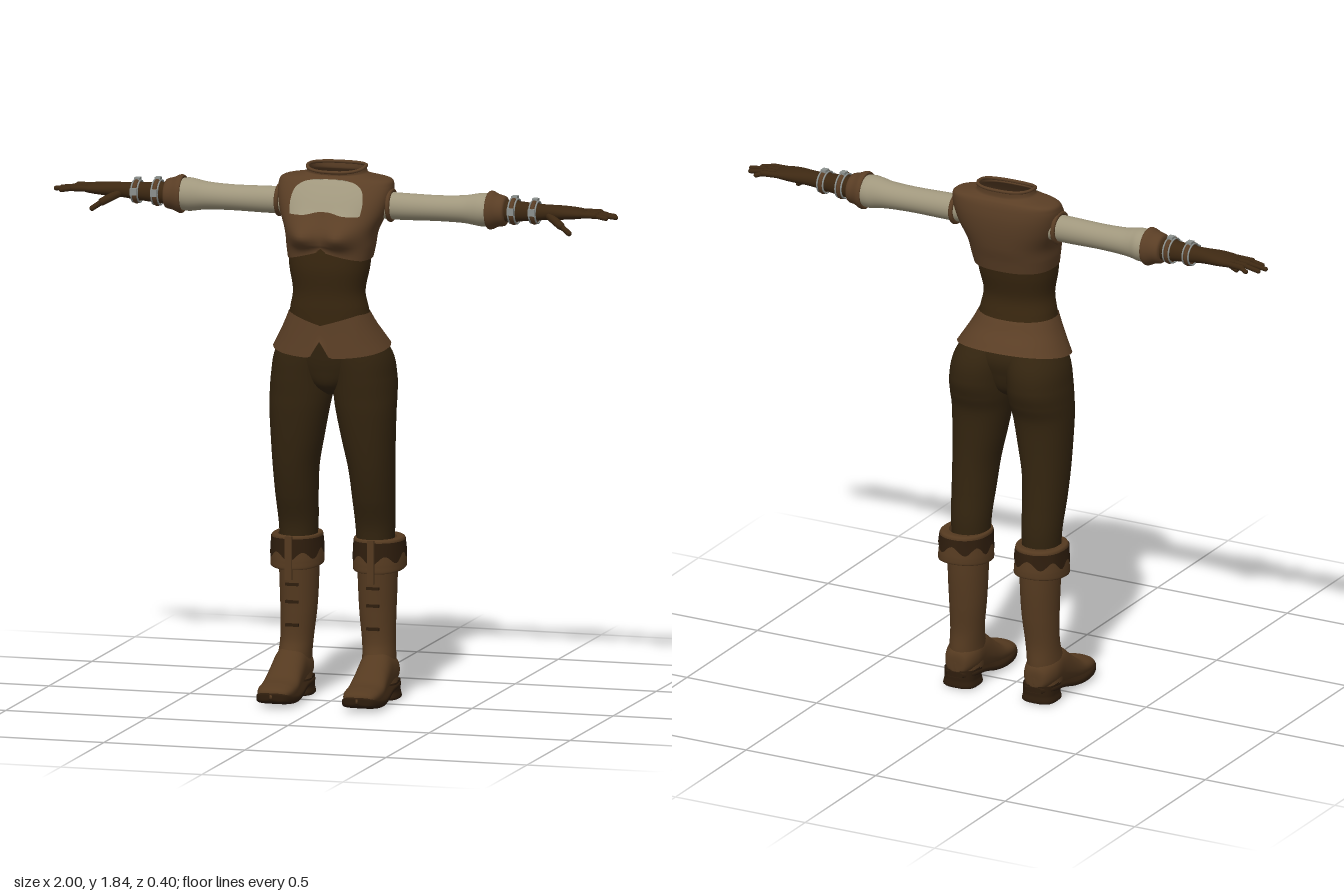
import * as THREE from 'three';
import { ParametricGeometry } from 'three/addons/geometries/ParametricGeometry.js';

const mat = (name, color, side = THREE.DoubleSide) => new THREE.MeshStandardMaterial({ name, color, side });

// Smooth interpolation through a list of stations, t in 0..1
function sample(rows, t) {
  const f = Math.min(Math.max(t, 0), 1) * (rows.length - 1);
  const i = Math.min(Math.floor(f), rows.length - 2), k = f - i;
  const at = (n) => rows[Math.min(Math.max(n, 0), rows.length - 1)];
  const [a, b, c, d] = [at(i - 1), at(i), at(i + 1), at(i + 2)];
  return b.map((_, j) => b[j] + 0.5 * k * (c[j] - a[j]
    + k * (2 * a[j] - 5 * b[j] + 4 * c[j] - d[j] + k * (3 * (b[j] - c[j]) + d[j] - a[j]))));
}

// Surface through stations [y, centreX, halfWidth, zFront, zBack]; u = 0 is the back, 0.5 the front
function surface(rows, power = 2, warp = null) {
  const e = 2 / power, curve = (s) => Math.sign(s) * Math.abs(s) ** e;
  return (u, v, target) => {
    const [y, cx, w, zf, zb] = sample(rows, v);
    const a = u * Math.PI * 2;
    target.set(cx - w * curve(Math.sin(a)), y, (zf + zb) / 2 - (zf - zb) / 2 * curve(Math.cos(a)));
    if (warp) warp(target, v, -Math.cos(a));
  };
}
const loft = (rows, power, warp, around = 32) =>
  new ParametricGeometry(surface(rows, power, warp), around, (rows.length - 1) * 5);

// Same stations run along +x (centre is -y) or along +z (front/back are -bottom/-top)
const loftX = (rows, power, around) => loft(rows, power, null, around).rotateZ(-Math.PI / 2);
const loftZ = (rows, power) => loft(rows, power).rotateX(Math.PI / 2);

function rod(from, to, r) {
  const a = new THREE.Vector3(...from), b = new THREE.Vector3(...to), d = b.clone().sub(a);
  const g = new THREE.CapsuleGeometry(r, d.length(), 4, 10);
  g.applyQuaternion(new THREE.Quaternion().setFromUnitVectors(new THREE.Vector3(0, 1, 0), d.normalize()));
  return g.translate(...a.add(b).multiplyScalar(0.5).toArray());
}
const box = (w, h, d, x, y, z) => new THREE.BoxGeometry(w, h, d).translate(x, y, z);
const ring = (x, y, z, ry, rz, tube) => new THREE.TorusGeometry(1, tube / ry, 8, 28)
  .rotateY(Math.PI / 2).scale(ry, ry, rz).translate(x, y, z);

function mirrored(geo) {
  const g = geo.clone().scale(-1, 1, 1), n = g.index.array;
  for (let i = 0; i < n.length; i += 3) [n[i], n[i + 1]] = [n[i + 1], n[i]];
  return g;
}

export function createModel() {
  const model = new THREE.Group();
  model.name = 'leatherOutfit';
  const leather = mat('brownLeather', 0x5a3e25), boot = mat('bootLeather', 0x553a20);
  const corset = mat('darkCorset', 0x38260f), cloth = mat('trouserCloth', 0x33240f);
  const linen = mat('creamLinen', 0xa0977d), glove = mat('gloveLeather', 0x3d2812);
  const sole = mat('darkSole', 0x2e1d0d), metal = mat('metal', 0x8c918e);

  const add = (name, geo, m) => {
    const mesh = new THREE.Mesh(geo, m);
    mesh.name = name;
    model.add(mesh);
  };
  const pair = (name, geo, m) => {
    add(name + 'Left', geo, m);
    add(name + 'Right', mirrored(geo), m);
  };

  // Vest with bust, shoulders and open collar
  const vestRows = [
    [1.53, 0, 0.143, 0.125, -0.118], [1.57, 0, 0.15, 0.122, -0.13], [1.62, 0, 0.157, 0.122, -0.147],
    [1.68, 0, 0.183, 0.092, -0.16], [1.73, 0, 0.197, 0.062, -0.165], [1.77, 0, 0.2, 0.032, -0.162],
    [1.792, 0, 0.188, 0.012, -0.155], [1.803, 0, 0.13, 0, -0.145], [1.811, 0, 0.106, -0.003, -0.14],
    [1.832, 0, 0.1, 0, -0.14],
  ];
  const bust = (p, v, front) => {
    if (front > 0) {
      const s = (Math.abs(p.x) - 0.07) / 0.055, t = (p.y - 1.615) / 0.045;
      p.z += 0.045 * front * Math.exp(-s * s - t * t);
      p.y += 0.035 * Math.max(0, 1 - v * 7) * Math.max(0, 1 - Math.abs(p.x) / 0.13);
    }
    if (v > 0.85) p.y -= 0.015 * Math.max(0, front) * (v - 0.85) / 0.15;
  };
  add('vest', loft(vestRows, 2.5, bust, 64), leather);
  const rim = Array.from({ length: 40 }, (_, i) => {
    const p = new THREE.Vector3();
    surface(vestRows, 2.5, bust)(i / 40, 1, p);
    return p;
  });
  add('collarRim', new THREE.TubeGeometry(new THREE.CatmullRomCurve3(rim, true), 60, 0.006, 6, true), leather);

  // Linen panel lying on the chest
  const vestSkin = surface(vestRows, 2.5, bust);
  add('chestPanel', new ParametricGeometry((s, t, p) => {
    const k = s * 2 - 1, half = 0.055 + 0.05 * Math.sqrt(Math.max(0, 1 - t ** 1.6));
    const low = 3.0 + 0.25 * Math.exp(-((k / 0.3) ** 2));
    const high = 6.1 - 0.7 * Math.abs(k) ** 4;
    vestSkin(0.5 - k * -half, (low + (high - low) * t) / 9, p);
    p.z += 0.005;
    p.y += 0.003;
  }, 24, 16), linen);

  // Corset and flared waist skirt
  add('corset', loft([
    [1.31, 0, 0.142, 0.118, -0.1], [1.36, 0, 0.134, 0.12, -0.088], [1.42, 0, 0.124, 0.12, -0.08],
    [1.5, 0, 0.138, 0.129, -0.1], [1.575, 0, 0.144, 0.125, -0.115],
  ], 2.2), corset);
  add('waistSkirt', loft([
    [1.225, 0, 0.202, 0.138, -0.166], [1.26, 0, 0.182, 0.134, -0.145],
    [1.3, 0, 0.16, 0.13, -0.118], [1.345, 0, 0.139, 0.126, -0.094],
  ], 2.2, (p, v, front) => {
    p.y -= 0.025 * front * (1 - v);
    if (front > 0) {
      const near = Math.max(0, 1 - Math.abs(p.x) / 0.035);
      p.y += 0.06 * near * (1 - v) ** 2 - 0.035 * v * Math.max(0, 1 - Math.abs(p.x) / 0.12);
    }
  }, 96), leather);

  // Trousers
  add('trouserHips', loft([
    [1.055, 0, 0.02, 0.01, -0.05], [1.09, 0, 0.07, 0.065, -0.1], [1.15, 0, 0.14, 0.085, -0.125],
    [1.22, 0, 0.175, 0.095, -0.135], [1.32, 0, 0.135, 0.1, -0.09],
  ], 2.2), cloth);
  pair('trouserLeg', loft([
    [0.5, 0.136, 0.06, 0, -0.14], [0.6, 0.136, 0.066, 0.005, -0.146], [0.7, 0.136, 0.071, 0.036, -0.138],
    [0.8, 0.134, 0.077, 0.06, -0.131], [0.9, 0.126, 0.089, 0.076, -0.129], [1.0, 0.118, 0.101, 0.087, -0.133],
    [1.06, 0.113, 0.106, 0.09, -0.153], [1.12, 0.11, 0.105, 0.093, -0.168],
    [1.2, 0.1, 0.1, 0.093, -0.156], [1.3, 0.075, 0.07, 0.08, -0.09],
  ], 2.15), cloth);

  // Boots: shaft, foot, sole, heel
  pair('bootShaft', loft([
    [0.06, 0.152, 0.058, -0.01, -0.152], [0.13, 0.15, 0.056, 0.005, -0.15], [0.2, 0.145, 0.056, -0.018, -0.145],
    [0.3, 0.14, 0.062, -0.018, -0.155], [0.4, 0.139, 0.066, -0.012, -0.163], [0.5, 0.139, 0.068, -0.005, -0.165],
  ], 2.1), boot);
  pair('bootFoot', loftZ([
    [-0.158, 0.152, 0.002, -0.07, -0.09], [-0.15, 0.152, 0.04, -0.05, -0.13], [-0.1, 0.152, 0.06, -0.045, -0.16],
    [-0.03, 0.152, 0.058, -0.035, -0.175], [0.03, 0.152, 0.06, -0.025, -0.135], [0.09, 0.152, 0.064, -0.02, -0.09],
    [0.15, 0.152, 0.062, -0.02, -0.075], [0.188, 0.152, 0.045, -0.025, -0.062], [0.198, 0.152, 0.002, -0.035, -0.045],
  ], 2.3), boot);
  pair('bootSole', loftZ([
    [-0.16, 0.152, 0.03, -0.04, -0.06], [-0.12, 0.152, 0.06, -0.04, -0.062], [-0.04, 0.152, 0.059, -0.028, -0.05],
    [0.03, 0.152, 0.063, -0.01, -0.035], [0.09, 0.152, 0.068, -0.003, -0.034], [0.15, 0.152, 0.066, -0.006, -0.042],
    [0.192, 0.152, 0.048, -0.016, -0.05], [0.203, 0.152, 0.004, -0.03, -0.046],
  ], 4), sole);
  pair('bootHeel', loft([
    [0, 0.152, 0.002, -0.1, -0.104], [0.001, 0.152, 0.058, -0.045, -0.156],
    [0.03, 0.152, 0.058, -0.045, -0.157], [0.065, 0.152, 0.058, -0.04, -0.157],
  ], 3), sole);
  pair('ankleSeam', new THREE.TorusGeometry(1, 0.06, 6, 32).rotateX(Math.PI / 2 - 0.12)
    .scale(0.056, 0.056, 0.075).translate(0.151, 0.12, -0.077), boot);

  // Turned-down boot cuffs with a scalloped dark band
  const tilt = (p, v, front) => { p.y -= 0.012 * front * (1 - v); };
  pair('bootCuff', loft([
    [0.465, 0.145, 0.07, -0.008, -0.17], [0.453, 0.146, 0.087, 0.012, -0.19], [0.475, 0.146, 0.089, 0.014, -0.193],
    [0.52, 0.146, 0.085, 0.011, -0.187], [0.557, 0.145, 0.084, 0.011, -0.184], [0.56, 0.14, 0.066, -0.002, -0.152],
  ], 2.2, tilt, 40), boot);
  pair('cuffBand', loft([
    [0.5, 0.146, 0.0895, 0.0155, -0.1925], [0.53, 0.146, 0.0875, 0.0145, -0.189], [0.55, 0.146, 0.0865, 0.0135, -0.187],
  ], 2.2, (p, v, front) => {
    tilt(p, v, front);
    p.y += 0.014 * (1 - v) * Math.sin(Math.atan2(p.z + 0.09, p.x - 0.146) * 7);
  }, 80), sole);
  pair('cuffStrap', box(0.024, 0.15, 0.012, 0.146, 0.485, 0.016), boot);
  for (const y of [0.25, 0.33, 0.39]) pair('bootLace', box(0.045, 0.01, 0.012, 0.143, y, -0.016), sole);

  // Sleeves, stations run along the arm
  pair('sleeve', loftX([
    [0.17, -1.705, 0.046, -0.01, -0.1], [0.24, -1.704, 0.046, -0.01, -0.1], [0.36, -1.704, 0.044, -0.012, -0.102],
    [0.45, -1.705, 0.047, -0.012, -0.108], [0.49, -1.706, 0.053, -0.008, -0.112], [0.52, -1.706, 0.057, -0.005, -0.12],
    [0.55, -1.706, 0.052, -0.01, -0.116], [0.57, -1.706, 0.036, -0.03, -0.1],
  ], 2), linen);
  pair('armholeTrim', ring(0.197, 1.706, -0.056, 0.05, 0.052, 0.008), leather);

  // Gloves and wrist cuffs
  pair('wristCuff', loftX([
    [0.556, -1.706, 0.036, -0.03, -0.1], [0.54, -1.706, 0.06, -0.004, -0.122], [0.552, -1.706, 0.066, 0, -0.126],
    [0.575, -1.706, 0.056, -0.006, -0.118], [0.6, -1.705, 0.049, -0.012, -0.112], [0.605, -1.705, 0.03, -0.03, -0.09],
  ], 2), leather);
  pair('gloveArm', loftX([
    [0.58, -1.706, 0.038, -0.022, -0.102], [0.65, -1.707, 0.034, -0.026, -0.097], [0.72, -1.708, 0.028, -0.03, -0.092],
    [0.76, -1.71, 0.025, -0.027, -0.094], [0.81, -1.711, 0.023, -0.016, -0.103], [0.86, -1.711, 0.018, -0.016, -0.106],
    [0.885, -1.71, 0.012, -0.022, -0.102], [0.892, -1.71, 0.002, -0.04, -0.08],
  ], 2.2, 24), glove);
  for (const [z0, z1, tip] of [[-0.095, -0.112, 0.945], [-0.073, -0.086, 0.98], [-0.05, -0.058, 0.992], [-0.028, -0.03, 0.965]]) {
    pair('fingerBase', rod([0.86, 1.712, z0], [0.925, 1.711, (z0 + z1) / 2], 0.0105), glove);
    pair('fingerTip', rod([0.92, 1.711, (z0 + z1) / 2], [tip, 1.703, z1], 0.008), glove);
  }
  pair('thumbBase', rod([0.765, 1.7, -0.035], [0.812, 1.675, -0.004], 0.014), glove);
  pair('thumbTip', rod([0.812, 1.675, -0.004], [0.845, 1.652, 0.006], 0.0095), glove);

  // Buckled bracelets
  for (const [x, r] of [[0.632, 0.039], [0.705, 0.034]]) {
    pair('wristStrap', ring(x, 1.707, -0.061, r, r + 0.002, 0.009), leather);
    for (const dx of [-0.011, 0.011]) pair('braceletEdge', ring(x + dx, 1.707, -0.061, r + 0.003, r + 0.006, 0.003), metal);
    pair('frontBuckle', box(0.024, 0.024, 0.012, x, 1.712, -0.061 + r + 0.01), metal);
    pair('topBuckle', box(0.02, 0.01, 0.024, x, 1.707 + r + 0.008, -0.066), metal);
  }
  return model;
}
